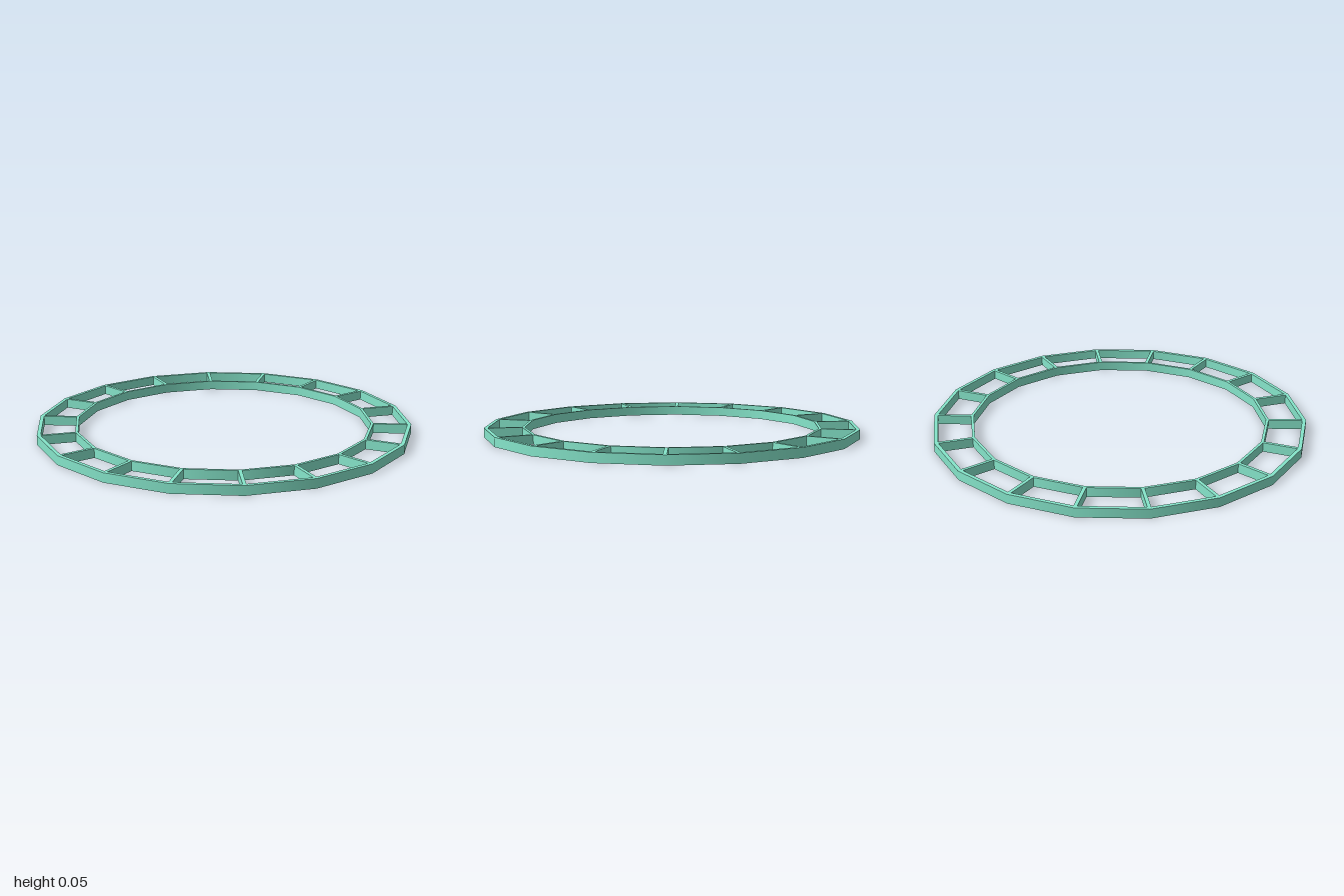
import * as THREE from 'three';
import { mergeGeometries } from 'three/addons/utils/BufferGeometryUtils.js';

const SIDES = 18;
const HEIGHT = 0.05;
const material = new THREE.MeshStandardMaterial({ color: 0x86e6cb });

// Rectangular-section hoop: walls smooth around, corners sharp
function hoop(name, inner, outer) {
  const corners = [[outer, 0], [outer, HEIGHT], [inner, HEIGHT], [inner, 0]]
    .map(([r, y]) => new THREE.Vector2(r, y));
  const walls = corners.map((p, i) =>
    new THREE.LatheGeometry([p, corners[(i + 1) % 4]], SIDES));
  const mesh = new THREE.Mesh(mergeGeometries(walls), material);
  mesh.name = name;
  return mesh;
}

export function createModel() {
  const group = new THREE.Group();
  group.name = 'spokedRing';
  group.add(hoop('outerHoop', 0.98, 1), hoop('innerHoop', 0.786, 0.801));

  // Radial struts joining the hoops at every corner
  const from = 0.793, to = 0.985;
  const strutGeometry = new THREE.BoxGeometry(0.018, HEIGHT, to - from);
  strutGeometry.translate(0, HEIGHT / 2, (from + to) / 2);
  const struts = new THREE.Group();
  struts.name = 'struts';
  for (let i = 0; i < SIDES; i++) {
    const strut = new THREE.Mesh(strutGeometry, material);
    strut.name = 'strut';
    strut.rotation.y = (i / SIDES) * Math.PI * 2;
    struts.add(strut);
  }
  group.add(struts);
  return group;
}
